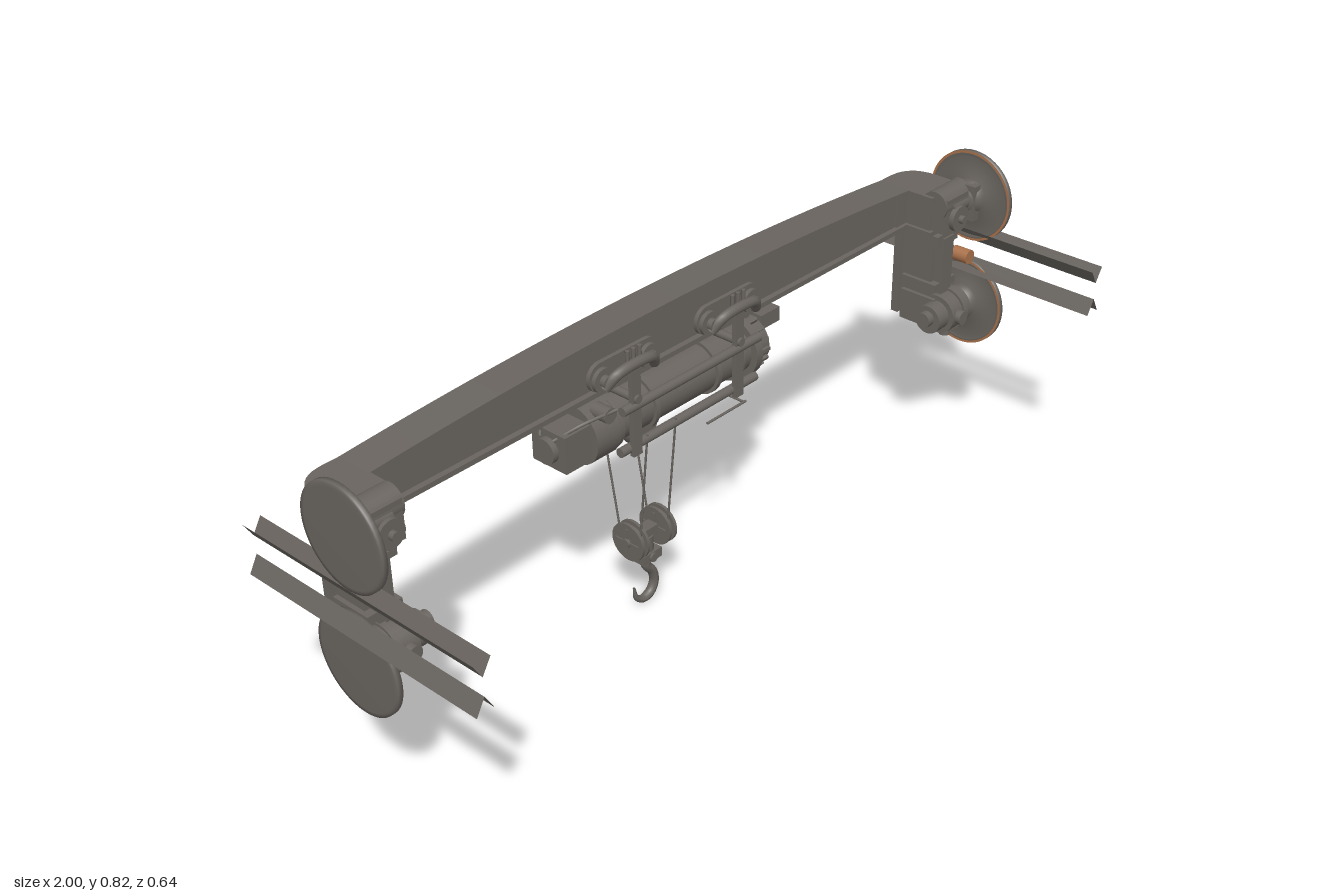
import * as THREE from 'three';

const steel = new THREE.MeshStandardMaterial({ color: 0x69645f, side: THREE.DoubleSide });
steel.name = 'dark steel';
const copper = new THREE.MeshStandardMaterial({ color: 0xa9714b });
copper.name = 'copper';

const V = (x, y, z) => new THREE.Vector3(x, y, z);

export function createModel() {
  const model = new THREE.Group();
  model.name = 'overheadCrane';
  let target = model;

  const add = (name, geo, mat = steel) => {
    const m = new THREE.Mesh(geo, mat);
    m.name = name;
    target.add(m);
    return m;
  };
  const part = (name) => {
    target = new THREE.Group();
    target.name = name;
    model.add(target);
  };
  // box given by its limits on each axis
  const box = (name, x0, x1, y0, y1, z0, z1) =>
    add(name, new THREE.BoxGeometry(Math.abs(x1 - x0), y1 - y0, z1 - z0)
      .translate((x0 + x1) / 2, (y0 + y1) / 2, (z0 + z1) / 2));
  // cylinder between two points
  const rod = (name, a, b, r, mat = steel, r2 = r, seg = 24) => {
    const m = add(name, new THREE.CylinderGeometry(r2, r, a.distanceTo(b), seg), mat);
    m.position.copy(a).add(b).multiplyScalar(0.5);
    m.quaternion.setFromUnitVectors(V(0, 1, 0), b.clone().sub(a).normalize());
    return m;
  };
  const rodX = (name, x0, x1, y, z, r, mat) => rod(name, V(x0, y, z), V(x1, y, z), r, mat);
  const rodZ = (name, z0, z1, x, y, r, mat) => rod(name, V(x, y, z0), V(x, y, z1), r, mat);
  const tube = (name, pts, r, n = 24) =>
    add(name, new THREE.TubeGeometry(new THREE.CatmullRomCurve3(pts), n, r, 10));

  // Arched girder: web with top and bottom flanges
  const topY = (x) => 0.735 + 0.035 * (1 - (x / 0.86) ** 2);
  const strip = (name, low, high, z0, z1) => {
    const s = new THREE.Shape();
    const n = 24, xs = Array.from({ length: n + 1 }, (_, i) => -0.86 + (1.72 * i) / n);
    xs.forEach((x, i) => (i ? s.lineTo(x, low(x)) : s.moveTo(x, low(x))));
    xs.reverse().forEach((x) => s.lineTo(x, high(x)));
    add(name, new THREE.ExtrudeGeometry(s, { depth: z1 - z0, bevelEnabled: false }).translate(0, 0, z0));
  };
  part('girder');
  strip('girderWeb', () => 0.645, (x) => topY(x) - 0.008, -0.202, -0.144);
  strip('topFlange', (x) => topY(x) - 0.014, topY, -0.217, -0.13);
  strip('bottomFlange', () => 0.635, () => 0.647, -0.217, -0.13);

  // Elbow outline seen from above, inset by o
  const elbow = (s, o, y0, y1) => {
    const p = new THREE.Shape();
    p.moveTo(s * 0.8, 0.217 - o);
    p.lineTo(s * 0.87, 0.217 - o);
    p.quadraticCurveTo(s * (0.95 - o), 0.217 - o, s * (0.95 - o), 0.135);
    p.lineTo(s * (0.95 - o), 0.06 + o);
    p.lineTo(s * (0.83 + o), 0.06 + o);
    p.lineTo(s * (0.83 + o), 0.13 + o);
    p.lineTo(s * 0.8, 0.13 + o);
    return new THREE.ExtrudeGeometry(p, { depth: y1 - y0, bevelEnabled: false, curveSegments: 10 })
      .rotateX(-Math.PI / 2).translate(0, y0, 0);
  };

  const wheelProfile = [[0, 0.976], [0.104, 0.976], [0.108, 0.974], [0.115, 0.974], [0.115, 0.963],
    [0.105, 0.963], [0.1, 0.966], [0.045, 0.964], [0.04, 0.945], [0.025, 0.93], [0, 0.93]];

  for (const s of [1, -1]) {
    part(s > 0 ? 'leftEnd' : 'rightEnd');
    add('elbowCore', elbow(s, 0.009, 0.64, 0.735));
    add('elbowTop', elbow(s, 0, 0.722, 0.737));
    add('elbowBottom', elbow(s, 0, 0.635, 0.647));

    // Column hanging from the elbow
    box('column', s * 0.86, s * 0.925, 0.42, 0.645, -0.165, -0.07);
    box('columnBackPlate', s * 0.85, s * 0.935, 0.39, 0.645, -0.178, -0.158);
    box('columnFrontRib', s * 0.872, s * 0.912, 0.47, 0.62, -0.075, -0.045);
    box('columnCollar', s * 0.85, s * 0.935, 0.6, 0.63, -0.15, -0.05);
    box('columnCollar', s * 0.85, s * 0.935, 0.48, 0.5, -0.15, -0.05);

    // Upper gearbox
    box('upperGearbox', s * 0.845, s * 0.93, 0.645, 0.735, -0.07, -0.025);
    rodZ('gearboxCover', -0.03, -0.012, s * 0.885, 0.68, 0.032);
    rodZ('gearboxBolt', -0.015, 0, s * 0.885, 0.68, 0.01);
    rodX('upperBearing', s * 0.84, s * 0.945, 0.715, -0.06, 0.036);
    box('upperBracket', s * 0.935, s * 0.958, 0.655, 0.745, -0.08, -0.01);

    // Lower drive motor, stepped along the axle
    rodX('driveGearbox', s * 0.86, s * 0.935, 0.42, -0.045, 0.05);
    rodX('driveMotor', s * 0.82, s * 0.862, 0.42, -0.045, 0.037);
    rodX('motorCap', s * 0.8, s * 0.822, 0.425, -0.045, 0.02);
    rodX('driveFlange', s * 0.9, s * 0.915, 0.42, -0.045, 0.056);
    box('driveMount', s * 0.85, s * 0.93, 0.38, 0.46, -0.15, -0.05);
    rod('drainPlug', V(s * 0.885, 0.36, -0.035), V(s * 0.885, 0.4, -0.035), 0.014);
    rodZ('driveCover', 0, 0.018, s * 0.885, 0.42, 0.018);

    // Side guide roller between the rails
    rodZ('guideArm', -0.15, -0.055, s * 0.91, 0.56, 0.012);
    rodZ('guideRoller', -0.055, -0.01, s * 0.935, 0.56, 0.018, copper);
    rodX('guideLink', s * 0.9, s * 0.945, 0.56, -0.07, 0.012);

    // Wheels above and below the rails
    for (const y of [0.705, 0.42]) {
      const w = add('wheel', new THREE.LatheGeometry(
        wheelProfile.map(([r, h]) => new THREE.Vector2(r, h)).reverse(), 48));
      w.rotation.z = -s * Math.PI / 2;
      w.position.set(0, y, -0.042);
      const ring = add('wheelRim', new THREE.RingGeometry(0.109, 0.115, 48), copper);
      ring.rotation.y = -s * Math.PI / 2;
      ring.position.set(s * 0.962, y, -0.042);
      rodX('wheelAxle', s * 0.87, s * 0.96, y, -0.042, 0.022);
    }

    // Open angle rails
    for (const [edge, fold] of [[0.62, 0.585], [0.505, 0.542]]) {
      for (const x of [0.956, 0.998]) {
        const g = new THREE.BufferGeometry().setFromPoints(
          [V(s * x, edge, -0.32), V(s * x, edge, 0.32), V(s * 0.977, fold, -0.32), V(s * 0.977, fold, 0.32)]);
        const flip = (s > 0) === (x > 0.977) === (edge < fold);
        g.setIndex(flip ? [0, 2, 1, 1, 2, 3] : [0, 1, 2, 1, 3, 2]);
        g.computeVertexNormals();
        add('rail', g);
      }
    }
  }

  // Trolley running on the girder's bottom flange
  part('trolley');
  const Z = -0.173;
  for (const cx of [-0.16, 0.17]) {
    for (const d of [1, -1]) {
      const at = (z) => Z + d * z;
      const oval = new THREE.Shape();
      oval.absarc(cx + 0.07, 0.68, 0.034, -Math.PI / 2, Math.PI / 2);
      oval.absarc(cx - 0.07, 0.68, 0.034, Math.PI / 2, Math.PI * 1.5);
      add('trolleyPlate', new THREE.ExtrudeGeometry(oval, { depth: 0.01, bevelEnabled: false })
        .translate(0, 0, at(0.04) - 0.005));
      for (const dx of [-0.07, 0.07]) {
        rodZ('trolleyWheel', at(0.03), at(0.055), cx + dx, 0.675, 0.028);
        rodZ('wheelHub', at(0.055), at(0.068), cx + dx, 0.675, 0.014);
      }
      tube('trolleyBar', [V(cx - 0.075, 0.66, at(0.06)), V(cx - 0.05, 0.69, at(0.075)),
        V(cx + 0.05, 0.69, at(0.075)), V(cx + 0.075, 0.66, at(0.06))], 0.012);
      for (const dx of [-0.018, 0, 0.018]) {
        rod('trolleyBolt', V(cx + dx, 0.69, at(0.072)), V(cx + dx, 0.73, at(0.072)), 0.005, steel, 0.005, 8);
      }
      // Hanger strap down to the hoist frame
      box('hangerStrap', cx - 0.013, cx + 0.013, 0.47, 0.7, at(0.073) - 0.006, at(0.073) + 0.006);
    }
    rodZ('hangerPin', Z - 0.085, Z + 0.085, cx, 0.61, 0.01);
  }

  // Hoist: drum, motor, gearbox and frame
  part('hoist');
  const Y = 0.54;
  rodX('drum', -0.19, 0.25, Y, Z, 0.058);
  for (const x of [-0.19, -0.08, 0.12, 0.2]) rodX('drumBand', x - 0.006, x + 0.006, Y, Z, 0.066);
  rodX('gearFlange', -0.27, -0.2, Y, Z, 0.07);
  box('gearbox', -0.345, -0.26, 0.497, 0.585, Z - 0.05, Z + 0.05);
  rodX('gearboxCap', -0.36, -0.34, Y, Z, 0.03);
  rodX('motorFlange', 0.235, 0.255, Y, Z, 0.075);
  rodX('motorBody', 0.25, 0.295, Y, Z, 0.06);
  for (let i = 0; i < 16; i++) {
    const a = (i / 16) * Math.PI * 2;
    const fin = box('motorFin', 0.252, 0.288, -0.004, 0.004, 0.055, 0.068);
    fin.rotation.x = a;
    fin.position.set(0, Y, Z);
  }
  box('controlBox', 0.3, 0.365, 0.568, 0.604, Z - 0.035, Z + 0.03);
  box('controlArm', 0.27, 0.3, 0.575, 0.597, Z - 0.02, Z + 0.02);
  rodZ('sensor', Z + 0.03, Z + 0.075, -0.235, 0.6, 0.018);
  for (const d of [1, -1]) {
    rodX('frameBar', -0.2, 0.24, 0.592, Z + d * 0.073, 0.011);
    rodX('frameBar', -0.2, 0.24, 0.487, Z + d * 0.063, 0.011);
    tube('cable', [V(-0.35, 0.57, Z + d * 0.02), V(-0.3, 0.6, Z + d * 0.055), V(-0.22, 0.61, Z + d * 0.078)], 0.004);
  }
  rodX('guideRod', 0.05, 0.18, 0.457, -0.085, 0.003);
  rodZ('guideRodPost', -0.15, -0.085, 0.17, 0.46, 0.003);
  rodZ('upperSheave', Z - 0.014, Z + 0.014, -0.075, 0.47, 0.042);
  box('sheaveBracket', -0.09, -0.06, 0.45, 0.51, Z - 0.025, Z + 0.025);

  // Ropes
  part('ropes');
  for (const x of [-0.12, -0.03]) {
    rod('rope', V(x, 0.21, -0.135), V(x, 0.5, -0.105), 0.0025, steel, 0.0025, 8);
    rod('rope', V(x, 0.21, -0.198), V(x, 0.5, -0.247), 0.0025, steel, 0.0025, 8);
  }

  // Hook block with two sheaves
  part('hookBlock');
  const H = -0.167;
  for (const x of [-0.117, -0.028]) {
    rodX('sheave', x - 0.012, x - 0.005, 0.192, H, 0.048);
    rodX('sheaveCore', x - 0.006, x + 0.006, 0.192, H, 0.038);
    rodX('sheave', x + 0.005, x + 0.012, 0.192, H, 0.048);
    for (let i = 0; i < 4; i++) {
      const rib = box('sheaveRib', x - 0.015, x + 0.015, -0.003, 0.003, 0.01, 0.036);
      rib.rotation.x = (i * Math.PI) / 2;
      rib.position.set(0, 0.192, H);
    }
  }
  rodX('axle', -0.137, -0.008, 0.192, H, 0.011);
  box('crosshead', -0.1, -0.045, 0.178, 0.206, H - 0.015, H + 0.015);
  rod('swivel', V(-0.073, 0.14, H), V(-0.073, 0.185, H), 0.02);
  box('hookYoke', -0.103, -0.043, 0.122, 0.146, H - 0.024, H + 0.024);
  rodZ('yokePin', H - 0.03, H + 0.03, -0.073, 0.134, 0.011);

  // Hook, tapering to its point
  const hookPath = new THREE.CatmullRomCurve3([V(-0.072, 0.13, H), V(-0.072, 0.1, H), V(-0.053, 0.075, H),
    V(-0.046, 0.045, H), V(-0.06, 0.018, H), V(-0.085, 0.011, H), V(-0.106, 0.025, H), V(-0.113, 0.055, H)]);
  const hook = new THREE.TubeGeometry(hookPath, 40, 1, 12);
  const pos = hook.attributes.position, p = V(0, 0, 0);
  for (let i = 0; i < pos.count; i++) {
    const t = Math.floor(i / 13) / 40, c = hookPath.getPointAt(t);
    const r = 0.003 + 0.0085 * Math.min(1, (1 - t) * 3);
    p.fromBufferAttribute(pos, i).sub(c).multiplyScalar(r).add(c);
    pos.setXYZ(i, p.x, Math.max(p.y, 0), p.z);
  }
  hook.computeVertexNormals();
  add('hook', hook);

  return model;
}
